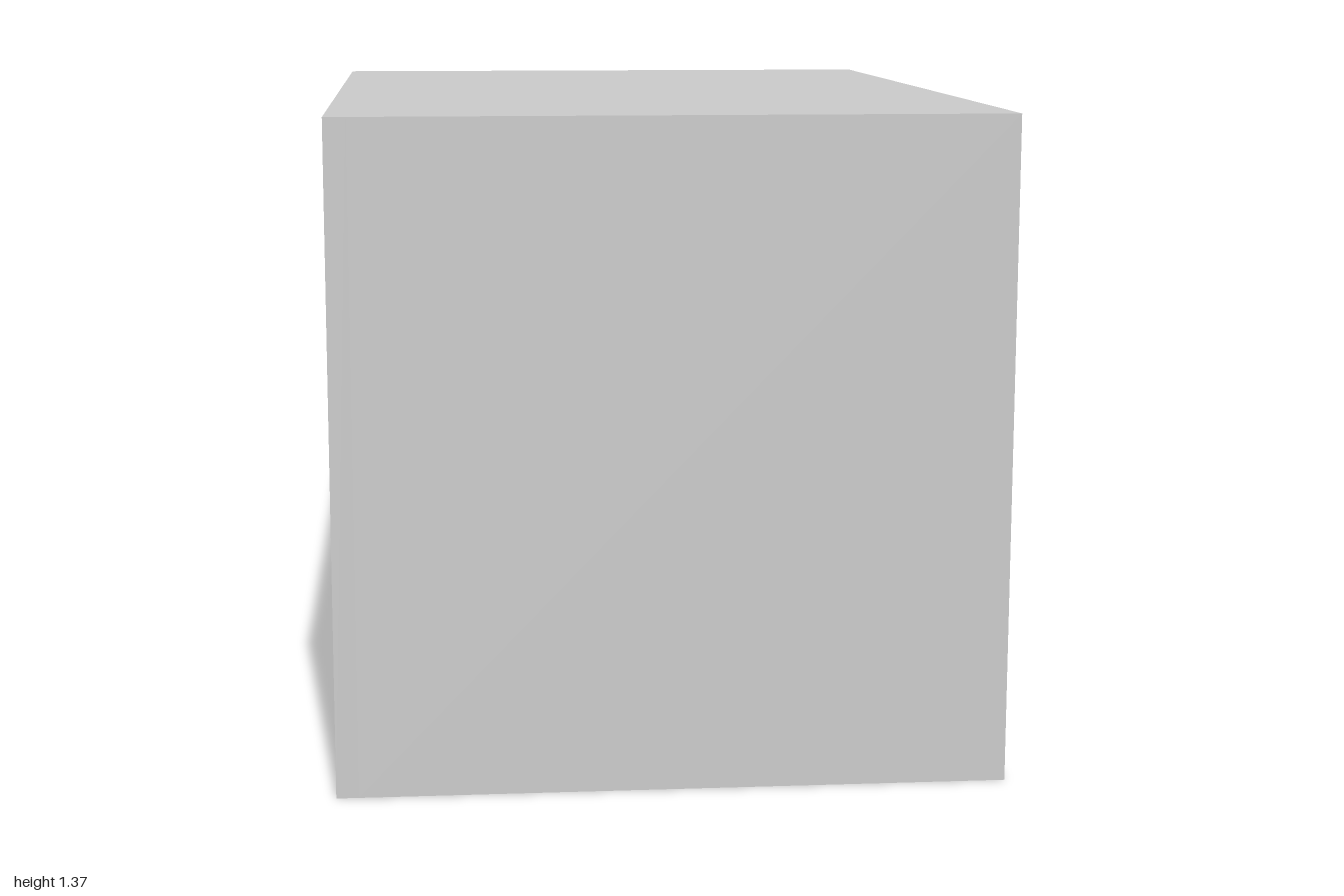
import * as THREE from 'three';

const material = new THREE.MeshStandardMaterial({ color: 0xcccccc, flatShading: true });

// Rectangle with cut corners; the cuts may differ at top and bottom
function cutRect(w, h, cutX = 0, cutTop = 0, cutBottom = cutTop) {
  const a = w / 2, b = h / 2;
  const pts = cutX === 0
    ? [[-a, -b], [a, -b], [a, b], [-a, b]]
    : [[-a + cutX, -b], [a - cutX, -b], [a, -b + cutBottom], [a, b - cutTop],
       [a - cutX, b], [-a + cutX, b], [-a, b - cutTop], [-a, -b + cutBottom]];
  return pts.map(([x, y]) => new THREE.Vector2(x, y));
}

function polygon(radius, sides) {
  return Array.from({ length: sides }, (_, i) => {
    const t = ((i + 0.5) / sides) * Math.PI * 2;
    return new THREE.Vector2(Math.cos(t) * radius, Math.sin(t) * radius);
  });
}

// Plate extruded from depth z0 to z1, with an optional hole
function plate(name, outline, hole, x, y, z0, z1) {
  const shape = new THREE.Shape(outline);
  if (hole) shape.holes.push(new THREE.Path(hole));
  const geometry = new THREE.ExtrudeGeometry(shape, { depth: z1 - z0, bevelEnabled: false });
  const mesh = new THREE.Mesh(geometry, material);
  mesh.name = name;
  mesh.position.set(x, y, z0);
  return mesh;
}

export function createModel() {
  const model = new THREE.Group();
  model.name = 'safe';

  const W = 2, H = 1.37, FRONT = 0.685, DOOR = 0.64;

  // Local frame of the door side: x runs along the door, z points out of it
  const safe = new THREE.Group();
  safe.name = 'safeBody';
  safe.rotation.y = -Math.PI / 2;
  model.add(safe);

  // Solid body, whose outer face is the door, and the raised rim around it
  safe.add(plate('body', cutRect(W, H), null, 0, H / 2, -FRONT, DOOR));
  safe.add(plate('doorRim', cutRect(W, H), cutRect(1.73, 1.115), 0, H / 2, DOOR, FRONT));

  // Keypad: octagonal surround with a sunken panel
  const keypad = new THREE.Group();
  keypad.name = 'keypad';
  safe.add(keypad);
  const kx = 0.3, ky = 0.68, PANEL = 0.652;
  keypad.add(plate('keypadSurround', cutRect(0.66, 0.7, 0.09, 0.1, 0.07),
    cutRect(0.53, 0.59, 0.055, 0.06, 0.05), kx, ky, DOOR, 0.684));
  keypad.add(plate('keypadPanel', cutRect(0.6, 0.64, 0.08, 0.09), null, kx, ky, DOOR, PANEL));

  // Display housing with its sunken window
  keypad.add(plate('displayHousing', cutRect(0.35, 0.1, 0.025, 0.025),
    cutRect(0.27, 0.056), 0.305, 0.875, PANEL, 0.688));
  keypad.add(plate('displayWindow', cutRect(0.29, 0.07), null, 0.305, 0.875, PANEL, 0.672));

  // Three rows of round buttons
  for (let row = 0; row < 3; row++) {
    for (let col = 0; col < 3; col++) {
      keypad.add(plate('button', polygon(0.055, 12), null,
        0.162 + col * 0.133, 0.75 - row * 0.126, PANEL, 0.681));
    }
  }

  // Turning knob: ring with a waisted grip across it
  const knob = new THREE.Group();
  knob.name = 'knob';
  safe.add(knob);
  const nx = -0.44, ny = 0.69;
  knob.add(plate('knobRing', polygon(0.192, 12), polygon(0.148, 12), nx, ny, DOOR, 0.683));
  const grip = [[-0.04, -0.143], [0.04, -0.143], [0.045, -0.11], [0.022, -0.04], [0.022, 0.04],
    [0.045, 0.11], [0.04, 0.143], [-0.04, 0.143], [-0.045, 0.11], [-0.022, 0.04],
    [-0.022, -0.04], [-0.045, -0.11]].map(([x, y]) => new THREE.Vector2(x, y));
  knob.add(plate('knobGrip', grip, null, nx, ny, DOOR, 0.68));

  return model;
}
